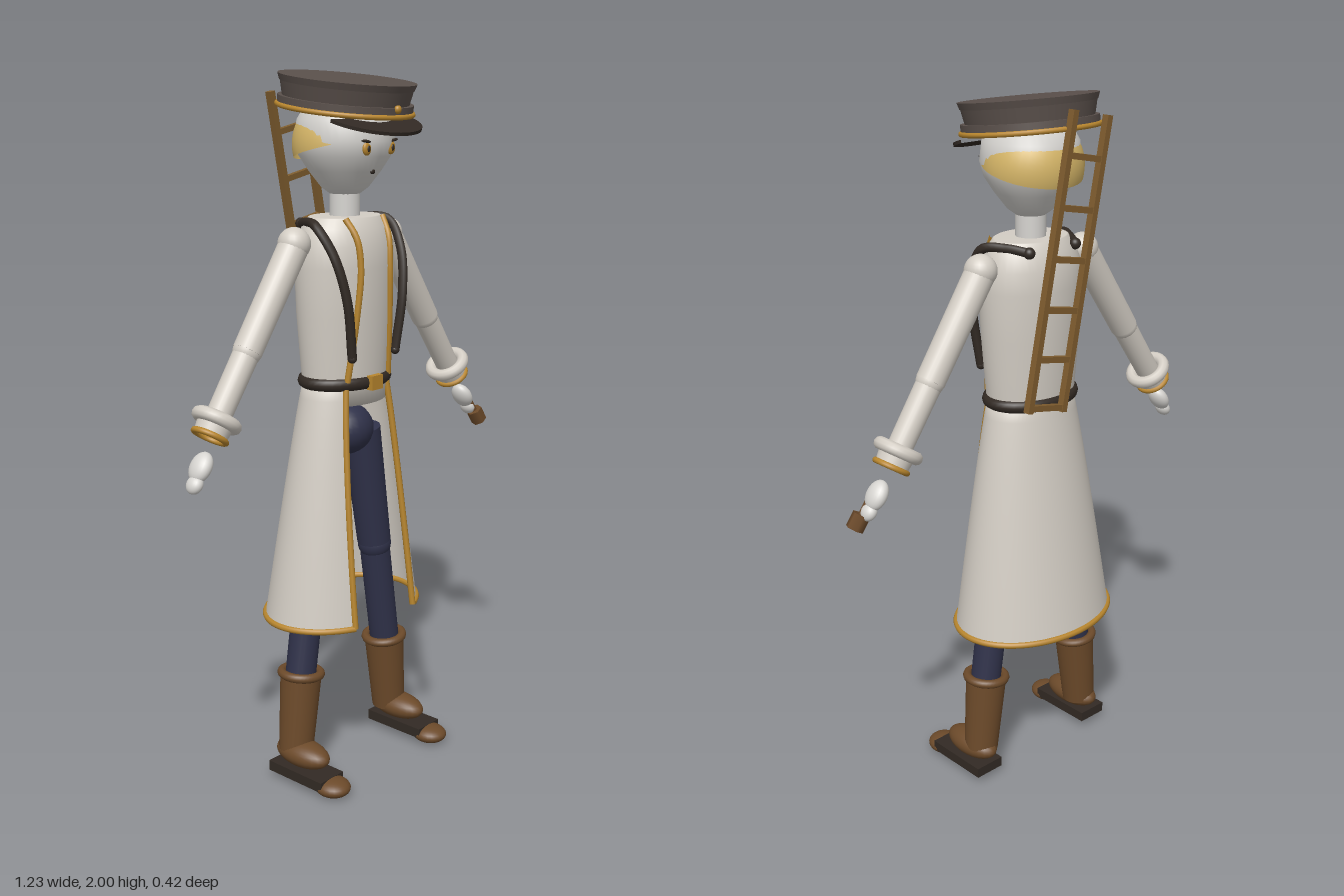
import * as THREE from 'three';
import { ParametricGeometry } from 'three/addons/geometries/ParametricGeometry.js';

const mat = (name, color, side = THREE.FrontSide) => {
  const m = new THREE.MeshStandardMaterial({ color, side });
  m.name = name;
  return m;
};
const V = (x, y, z) => new THREE.Vector3(x, y, z);

export function createModel() {
  const M = {
    coat: mat('coat', 0xd3cdc4, THREE.DoubleSide),
    skin: mat('skin', 0xd6d4d0),
    hair: mat('hair', 0xd6b668, THREE.DoubleSide),
    gold: mat('gold', 0xb8862e),
    hat: mat('hat', 0x5a504b),
    dark: mat('darkLeather', 0x322a24),
    navy: mat('navy', 0x30324a),
    boot: mat('bootBrown', 0x6c4a2a),
    wood: mat('wood', 0x7e5c2e),
  };
  const model = new THREE.Group();
  const body = new THREE.Group();
  body.name = 'figure';
  body.position.x = -0.018;
  model.add(body);

  const add = (name, geo, m, pos = [0, 0, 0], parent = body) => {
    const mesh = new THREE.Mesh(geo, m);
    mesh.name = name;
    mesh.position.set(...pos);
    parent.add(mesh);
    return mesh;
  };
  const ball = (name, m, pos, sx, sy = sx, sz = sx, parent = body) => {
    const b = add(name, new THREE.SphereGeometry(1, 24, 16), m, pos, parent);
    b.scale.set(sx, sy, sz);
    return b;
  };
  const UP = V(0, 1, 0);
  const limb = (name, m, a, b, ra, rb, open = false, sides = 24) => {
    const d = b.clone().sub(a);
    const c = add(name, new THREE.CylinderGeometry(rb, ra, d.length(), sides, 1, open), m,
      a.clone().add(b).multiplyScalar(0.5).toArray());
    c.quaternion.setFromUnitVectors(UP, d.normalize());
    return c;
  };
  const ring = (name, m, pos, R, r, axis = UP, parent = body) => {
    const t = add(name, new THREE.TorusGeometry(R, r, 10, 40), m, pos, parent);
    t.quaternion.setFromUnitVectors(V(0, 0, 1), axis);
    return t;
  };
  const tube = (name, m, pts, r, n = 40) =>
    add(name, new THREE.TubeGeometry(new THREE.CatmullRomCurve3(pts), n, r, 8), m);
  const lathe = (pts, n = 40) => new THREE.LatheGeometry(pts.map(p => new THREE.Vector2(...p)), n);

  // Head, neck and hair
  add('head', lathe([[0, 1.663], [0.035, 1.668], [0.065, 1.69], [0.1, 1.735], [0.126, 1.775],
    [0.137, 1.815], [0.13, 1.87], [0.1, 1.92], [0, 1.95]]), M.skin);
  add('neck', new THREE.CylinderGeometry(0.042, 0.042, 0.12, 24), M.skin, [0, 1.64, 0]);
  const hair = add('hair', new THREE.SphereGeometry(0.141, 36, 16, 0, Math.PI * 2, 0, Math.PI * 0.52),
    M.hair, [0, 1.8, -0.008]);
  hair.rotation.x = -0.24;
  hair.scale.z = 0.95;

  // Face
  for (const s of [-1, 1]) {
    ball('eye', M.gold, [s * 0.049, 1.797, 0.122], 0.015, 0.018, 0.008);
    ball('pupil', M.dark, [s * 0.049, 1.797, 0.128], 0.006, 0.009, 0.004);
    const brow = ball('brow', M.dark, [s * 0.052, 1.816, 0.125], 0.022, 0.004, 0.006);
    brow.rotation.z = s * 0.12;
  }
  ball('mouth', M.dark, [0, 1.735, 0.1], 0.009, 0.007, 0.005);

  // Peaked cap, tipped forward
  const cap = new THREE.Group();
  cap.name = 'cap';
  cap.position.set(0, 1.892, 0);
  cap.rotation.x = 0.12;
  body.add(cap);
  const crownParts = [
    [0.184, 0.184, 0.03, 0.015], [0.18, 0.172, 0.038, 0.049], [0.188, 0.182, 0.018, 0.077],
  ];
  for (const [rt, rb, h, y] of crownParts)
    add('capCrown', new THREE.CylinderGeometry(rt, rb, h, 48), M.hat, [0, y, 0], cap);
  ring('capTrim', M.gold, [0, 0.006, 0], 0.184, 0.007, UP, cap);
  ball('capButton', M.gold, [0, 0.027, 0.184], 0.011, 0.011, 0.009, cap);
  const visor = add('visor', new THREE.CylinderGeometry(0.16, 0.16, 0.009, 32, 1, false, -Math.PI / 2, Math.PI),
    M.dark, [0, 1.87, 0.095]);
  visor.scale.z = 0.75;
  visor.rotation.x = 0.3;

  // Coat body
  const torso = add('coatBody', lathe([[0, 1.1], [0.134, 1.1], [0.14, 1.17], [0.155, 1.35], [0.16, 1.48],
    [0.155, 1.54], [0.137, 1.585], [0.116, 1.612], [0.112, 1.614], [0, 1.614]]), M.coat);
  torso.scale.z = 0.74;

  // Flared coat skirt, open at the front; u runs round, t runs down
  const skirtAt = (u, t, out) => {
    const open = 0.66 - 0.14 * t;
    const a = open + u * (Math.PI * 2 - 2 * open);
    return out.set(Math.sin(a) * (0.137 + 0.118 * t ** 0.85), 1.16 - 0.682 * t,
      Math.cos(a) * (0.1 + 0.09 * t) - 0.012 * t);
  };
  const sample = (n, f) => Array.from({ length: n + 1 }, (_, i) => f(i / n));
  add('coatSkirt', new ParametricGeometry(skirtAt, 56, 16), M.coat);
  tube('hemTrim', M.gold, sample(40, k => skirtAt(k, 1, V())), 0.009, 100);
  for (const u of [0, 1]) tube('skirtEdgeTrim', M.gold, sample(8, k => skirtAt(u, k, V())), 0.009);

  // Lapel trims and shoulder straps
  for (const s of [-1, 1]) {
    tube('lapelTrim', M.gold, [V(s * 0.075, 1.612, 0.07), V(s * 0.065, 1.56, 0.102), V(s * 0.06, 1.48, 0.112),
      V(s * 0.068, 1.35, 0.105), V(s * 0.085, 1.17, 0.086)], 0.009);
    tube('shoulderStrap', M.dark, [V(s * 0.085, 1.592, -0.085), V(s * 0.115, 1.6, -0.03), V(s * 0.148, 1.595, 0.03),
      V(s * 0.138, 1.52, 0.085), V(s * 0.115, 1.4, 0.112), V(s * 0.09, 1.24, 0.108)], 0.013);
    ball('strapEnd', M.dark, [s * 0.085, 1.592, -0.085], 0.016);
    ball('strapEnd', M.dark, [s * 0.09, 1.24, 0.108], 0.013);
  }

  // Belt and buckle
  const belt = ring('belt', M.dark, [0, 1.162, 0], 0.135, 0.018);
  belt.scale.y = 0.74;
  add('buckle', new THREE.BoxGeometry(0.046, 0.04, 0.02), M.gold, [0, 1.162, 0.112]);

  // Arms
  for (const s of [-1, 1]) {
    const z = -0.01;
    const P = (x, y) => V(s * x, y, z);
    const axis = V(s * 0.56, -0.83, 0).normalize();
    ball('shoulder', M.coat, [s * 0.19, 1.55, z], 0.045);
    limb('upperArm', M.coat, P(0.195, 1.54), P(0.37, 1.285), 0.042, 0.04);
    ball('elbow', M.coat, [s * 0.37, 1.285, z], 0.039);
    limb('forearm', M.coat, P(0.37, 1.285), P(0.495, 1.105), 0.036, 0.034);
    ring('cuffRoll', M.coat, [s * 0.483, 1.122, z], 0.051, 0.018, axis);
    limb('cuff', M.coat, P(0.483, 1.122), P(0.507, 1.086), 0.05, 0.045, true);
    ring('cuffTrim', M.gold, [s * 0.508, 1.084, z], 0.045, 0.008, axis);
    const palm = ball('hand', M.skin, [s * 0.551, 1.012, 0], 0.024, 0.043, 0.034);
    palm.quaternion.setFromUnitVectors(UP, axis);
    const fingers = ball('fingers', M.skin, [s * 0.576, 0.972, 0.003], 0.019, 0.026, 0.025);
    fingers.quaternion.copy(palm.quaternion);
  }

  // Small handle held in the left hand
  limb('heldStem', M.boot, V(0.565, 1.0, 0.012), V(0.6, 0.94, 0.022), 0.011, 0.011, false, 8);
  limb('heldHandle', M.boot, V(0.588, 0.962, 0.02), V(0.61, 0.925, 0.025), 0.025, 0.025, false, 6);

  // Hips, legs and boots
  ball('hips', M.navy, [0, 1.012, 0], 0.085, 0.075, 0.08);
  for (const s of [-1, 1]) {
    const P = (x, y, z = -0.005) => V(s * x, y, z);
    limb('thigh', M.navy, P(0.075, 1.0), P(0.135, 0.64), 0.056, 0.05);
    ball('knee', M.navy, [s * 0.137, 0.63, -0.005], 0.05);
    limb('shin', M.navy, P(0.137, 0.63), P(0.188, 0.3), 0.045, 0.044);
    limb('bootShaft', M.boot, P(0.208, 0.085), P(0.184, 0.32), 0.05, 0.06);
    ring('bootCuff', M.boot, [s * 0.184, 0.318, -0.005], 0.056, 0.013, V(s * -0.1, 1, 0).normalize());
    ball('foot', M.boot, [s * 0.213, 0.086, 0.028], 0.05, 0.038, 0.095);
    add('sole', new THREE.BoxGeometry(0.094, 0.03, 0.205), M.dark, [s * 0.22, 0.037, 0.045]);
    ball('toe', M.boot, [s * 0.22, 0.026, 0.15], 0.049, 0.026, 0.054);
  }

  // Ladder slung across the back
  const ladder = new THREE.Group();
  ladder.name = 'ladder';
  ladder.position.set(0.027, 1.57, -0.188);
  ladder.rotation.z = 0.2;
  model.add(ladder);
  for (const s of [-1, 1])
    add('ladderRail', new THREE.BoxGeometry(0.018, 0.785, 0.02), M.wood, [s * 0.063, 0, 0], ladder);
  for (let i = 0; i < 6; i++)
    add('ladderRung', new THREE.BoxGeometry(0.12, 0.016, 0.016), M.wood, [0, -0.38 + i * 0.132, 0], ladder);

  return model;
}
